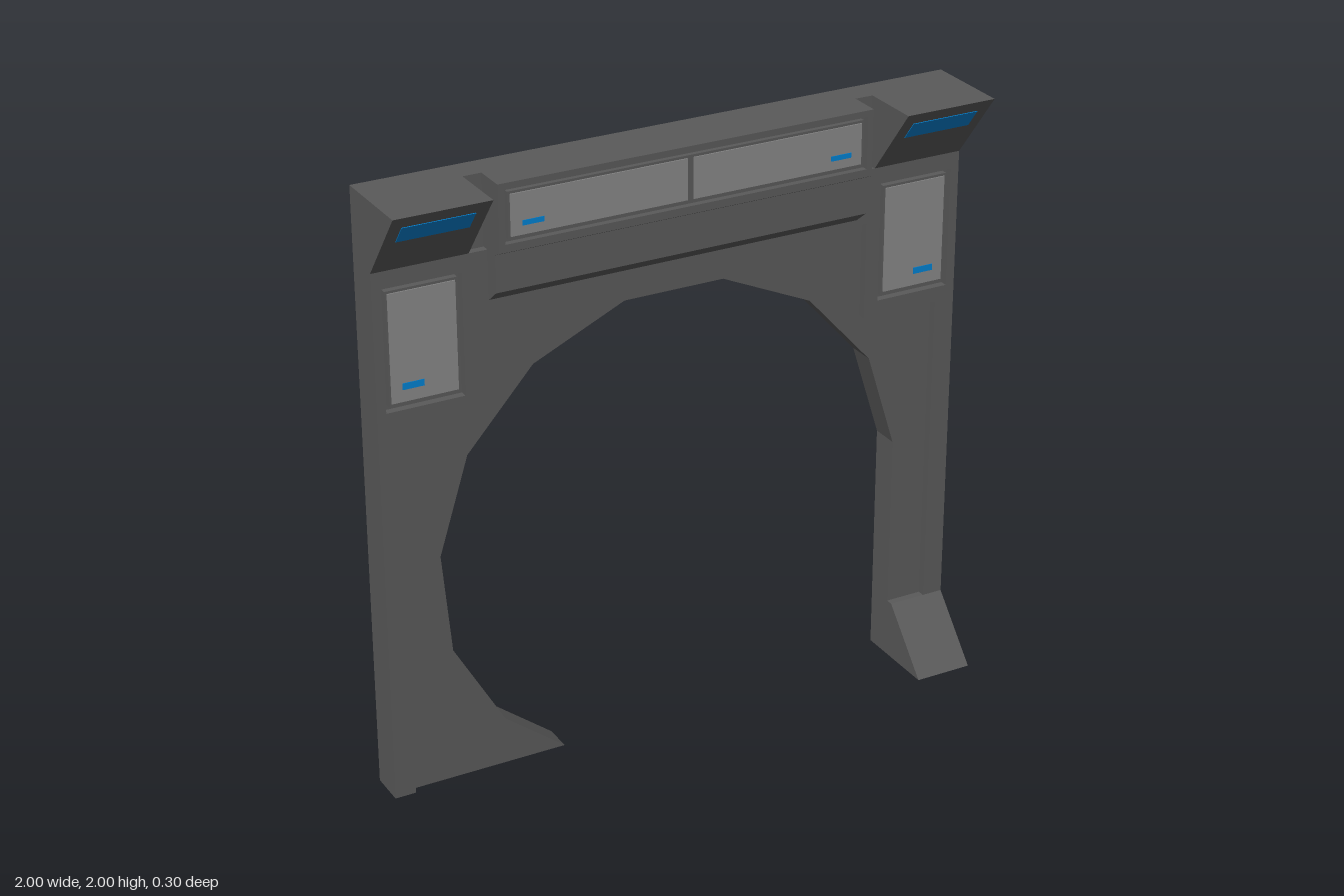
import * as THREE from 'three';

export function createModel() {
  const root = new THREE.Group();
  const material = (name, color) => {
    const m = new THREE.MeshStandardMaterial({ color });
    m.name = name;
    return m;
  };
  const wall = material('dark grey wall', 0x5a5a5a);
  const pane = material('light grey pane', 0x878787);
  const blue = material('blue marking', 0x0080d0);

  const add = (name, geometry, mat) => {
    const mesh = new THREE.Mesh(geometry, mat);
    mesh.name = name;
    root.add(mesh);
    return mesh;
  };
  const toPoints = (pts) => pts.map(([x, y]) => new THREE.Vector2(x, y));
  const rect = (x0, x1, y0, y1) => [[x0, y0], [x1, y0], [x1, y1], [x0, y1]];

  // Flat slab from an xy outline with holes, between two depths
  const slab = (name, pts, z0, z1, holes = []) => {
    const shape = new THREE.Shape(toPoints(pts));
    holes.forEach((h) => shape.holes.push(new THREE.Path(toPoints(h))));
    const g = new THREE.ExtrudeGeometry(shape, { depth: z1 - z0, bevelEnabled: false });
    return add(name, g.translate(0, 0, z0), wall);
  };
  // Prism running along x from a (z, y) profile
  const prism = (name, pts, x0, x1) => {
    const g = new THREE.ExtrudeGeometry(new THREE.Shape(toPoints(pts)), { depth: x1 - x0, bevelEnabled: false });
    g.translate(0, 0, -(x1 - x0) / 2).rotateY(-Math.PI / 2).translate((x0 + x1) / 2, 0, 0);
    return add(name, g, wall);
  };
  // Box given by its extents
  const block = (name, x0, x1, y0, y1, z0, z1, mat) => {
    const g = new THREE.BoxGeometry(x1 - x0, y1 - y0, z1 - z0);
    return add(name, g.translate((x0 + x1) / 2, (y0 + y1) / 2, (z0 + z1) / 2), mat);
  };

  const BACK = -0.15, RECESS = -0.055, FRONT = -0.03;

  // Main wall with the faceted, lopsided arch
  slab('archWall', [
    [-1, 0], [-0.4, 0], [-0.605, 0.16], [-0.775, 0.455], [-0.805, 0.79], [-0.705, 1.11],
    [-0.48, 1.36], [-0.17, 1.5], [0.17, 1.5], [0.48, 1.36], [0.705, 1.11], [0.805, 0.79],
    [0.805, 0], [1, 0], [1, 2], [-1, 2],
  ], BACK, RECESS);

  // Raised outer frame with stepped inner edge, top slots and side window openings
  const half = [
    [1, 0], [1, 2], [0.69, 2], [0.69, 1.77], [0.63, 1.77], [0.63, 2],
  ];
  const inner = [[0.665, 1.59], [0.665, 1.27], [0.93, 1.27], [0.93, 0]];
  const mirror = (pts) => pts.map(([x, y]) => [-x, y]).reverse();
  slab('outerFrame', [...half, ...mirror(half), ...mirror(inner), ...inner], RECESS, FRONT,
    [rect(0.715, 0.97, 1.32, 1.715), rect(-0.97, -0.715, 1.32, 1.715)]);

  // Header beam, its lip and the window surround
  prism('headerBeam', [
    [FRONT, 1.61], [0.02, 1.65], [0.02, 1.77], [0.03, 1.775], [0.03, 2], [FRONT, 2],
  ], -0.63, 0.63);
  prism('headerLip', [[0.02, 1.77], [0.05, 1.785], [0.05, 1.8], [0.02, 1.8]], -0.63, 0.63);
  slab('headerSurround', rect(-0.63, 0.63, 1.8, 2), 0.03, 0.05, [rect(-0.61, 0.61, 1.81, 1.98)]);
  block('headerWindowFrame', -0.598, 0.598, 1.822, 1.97, 0.03, 0.045, wall);

  const slope = Math.atan2(0.18, 0.23);
  for (const s of [-1, 1]) {
    const side = s > 0 ? 'left' : 'right';
    const span = (a, b) => (s > 0 ? [a, b] : [-b, -a]);

    // Header windows
    block(side + 'HeaderPane', ...span(0.01, 0.59), 1.83, 1.962, 0.044, 0.049, pane);
    block(side + 'HeaderMark', ...span(0.483, 0.553), 1.859, 1.875, 0.048, 0.051, blue);

    // Side windows
    block(side + 'WindowFrame', ...span(0.727, 0.957), 1.335, 1.703, RECESS, -0.035, wall);
    block(side + 'WindowPane', ...span(0.735, 0.95), 1.345, 1.695, -0.036, -0.031, pane);
    block(side + 'WindowMark', ...span(0.845, 0.915), 1.384, 1.405, -0.032, -0.029, blue);

    // Sloped corner canopy with its blue plate
    prism(side + 'Canopy', [[FRONT, 1.77], [0.15, 2], [FRONT, 2]], ...span(0.69, 1));
    const plate = add(side + 'CanopyPlate', new THREE.BoxGeometry(0.23, 0.06 / Math.cos(slope), 0.004), blue);
    plate.position.set(s * 0.845, 1.928, FRONT + (1.928 - 1.77) * 0.18 / 0.23);
    plate.rotation.x = slope;
  }

  // Sloping foot on the straight leg
  prism('legFoot', [[RECESS, 0], [0.15, 0], [FRONT, 0.2], [RECESS, 0.2]], 0.805, 1);

  return root;
}
